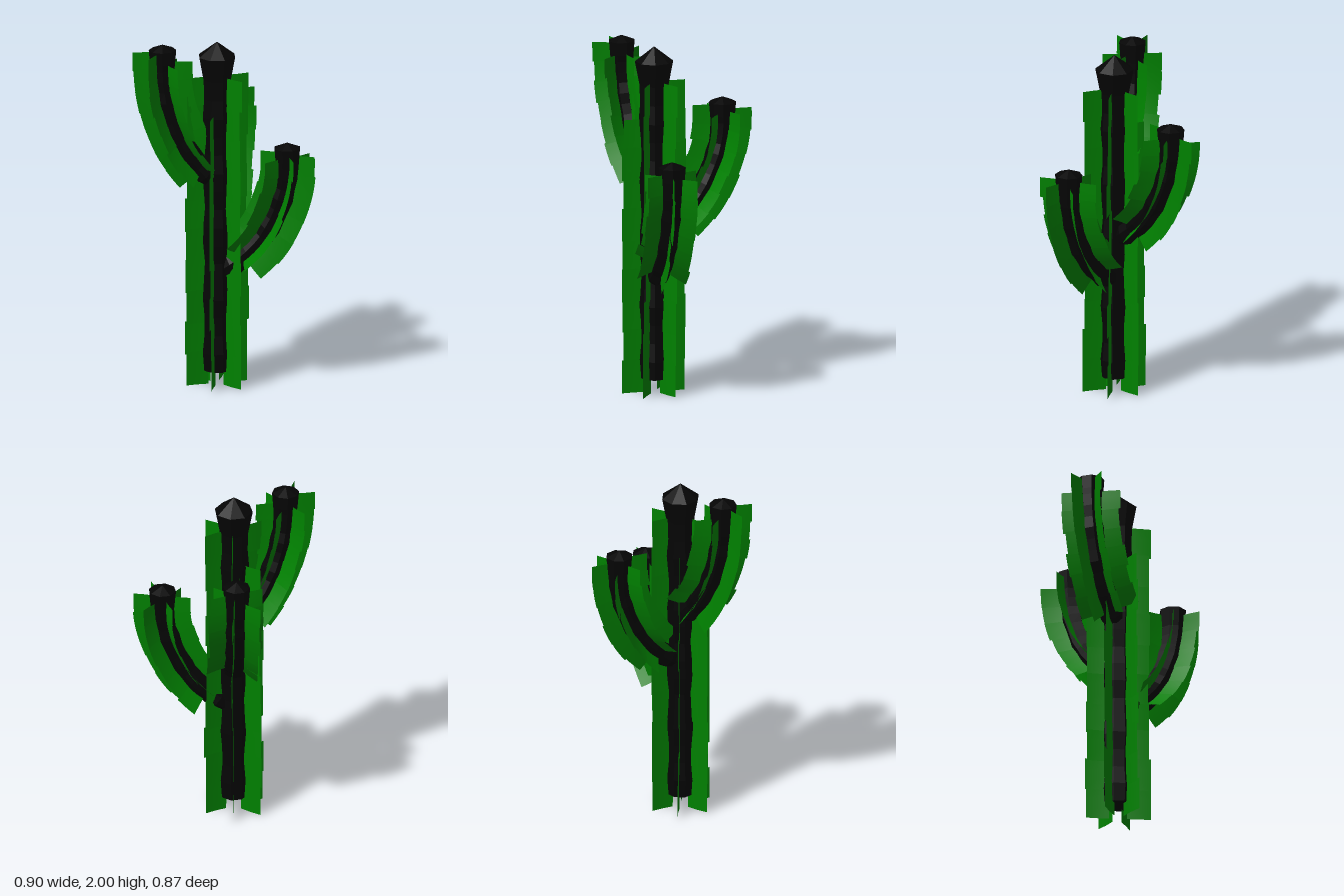
import * as THREE from 'three';

const coreMat = new THREE.MeshStandardMaterial({ color: 0x050505 });
coreMat.flatShading = true;
const finMat = new THREE.MeshStandardMaterial({ color: 0x008000, side: THREE.DoubleSide });
const rad = THREE.MathUtils.degToRad;
const V = (x, y, z) => new THREE.Vector3(x, y, z);

// small seeded generator, returns -1..1
let seed = 7;
const jitter = () => {
  seed = (seed * 16807) % 2147483647;
  return (seed / 2147483647) * 2 - 1;
};

// A stem follows a curve in the vertical plane at the given heading.
// place(u, angle, r) gives a point around the stem at curve parameter u.
function makeStem(profile, headingDeg) {
  const h = rad(headingDeg);
  const out = V(Math.cos(h), 0, Math.sin(h));
  const side = V(-Math.sin(h), 0, Math.cos(h));
  const curve = new THREE.CatmullRomCurve3(profile.map(([r, y]) => out.clone().multiplyScalar(r).setY(y)));
  const place = (u, angle, r) => {
    const t = curve.getTangentAt(u);
    const n = side.clone().cross(t).normalize();
    if (n.dot(out) < 0) n.negate();
    return curve.getPointAt(u)
      .addScaledVector(n, r * Math.cos(angle))
      .addScaledVector(side, r * Math.sin(angle));
  };
  return { place, length: curve.getLength() };
}

// Grid of points (rows x cols) turned into a surface
function gridGeometry(rows, cols, at) {
  const pos = [], idx = [];
  for (let i = 0; i < rows; i++) for (let j = 0; j < cols; j++) pos.push(...at(i, j).toArray());
  for (let i = 0; i < rows - 1; i++) for (let j = 0; j < cols - 1; j++) {
    const a = i * cols + j, b = a + cols;
    idx.push(a, b, a + 1, a + 1, b, b + 1);
  }
  const g = new THREE.BufferGeometry();
  g.setAttribute('position', new THREE.Float32BufferAttribute(pos, 3));
  g.setIndex(idx);
  g.computeVertexNormals();
  return g;
}

// Eight-sided core: rings are [u, radius], closed by zero-radius rings at both ends
function core(stem, rings, name) {
  const mesh = new THREE.Mesh(gridGeometry(rings.length, 9, (i, j) =>
    stem.place(rings[i][0], (j / 8) * Math.PI * 2 + 0.2, rings[i][1])), coreMat);
  mesh.name = name;
  return mesh;
}

// One rib: a row of thin overlapping plates with slightly uneven edges
function rib(stem, angleDeg, u0, u1, plateLength, inner, outer, name) {
  const group = new THREE.Group();
  group.name = name;
  const count = Math.max(1, Math.round(((u1 - u0) * stem.length) / plateLength));
  for (let k = 0; k < count; k++) {
    const a = u0 + ((u1 - u0) * k) / count;
    const b = Math.min(u1, u0 + ((u1 - u0) * (k + 1.08)) / count);
    const twist = rad(angleDeg + jitter() * 2.5);
    const reach = outer + jitter() * 0.008;
    const plate = new THREE.Mesh(gridGeometry(4, 3, (i, j) =>
      stem.place(a + ((b - a) * i) / 3, twist + (j === 1 ? 0.03 : 0), inner + ((reach - inner) * j) / 2)), finMat);
    plate.name = 'ribPlate';
    group.add(plate);
  }
  return group;
}

export function createModel() {
  seed = 7;
  const model = new THREE.Group();
  model.name = 'cactus';

  // Trunk: straight stem with a swollen pointed crown
  const trunk = new THREE.Group();
  trunk.name = 'trunk';
  const trunkStem = makeStem([[0, 0], [0, 1], [0, 2]], 0);
  const rings = [[0.04, 0], [0.04, 0.078]];
  for (let i = 1; i <= 15; i++) rings.push([0.04 + i * 0.053, 0.08 + 0.007 * Math.sin(i * 1.9)]);
  rings.push([0.89, 0.082], [0.958, 0.108], [1, 0]);
  trunk.add(core(trunkStem, rings, 'trunkCore'));
  const tops = [0.79, 0.9, 0.79, 0.9, 0.9, 0.9];
  tops.forEach((top, k) =>
    trunk.add(rib(trunkStem, 48 + k * 60, 0, top, 0.18, 0.05, 0.18, 'trunkRib')));
  model.add(trunk);

  // Arms: name, heading, lift, bend as [reach, height], rib start, rib ends
  const bend = [[0.04, 0.67], [0.1, 0.71], [0.25, 0.86], [0.35, 1.05], [0.395, 1.22], [0.4, 1.43]];
  const shortBend = [[0.02, 1.19], [0.09, 1.26], [0.2, 1.42], [0.27, 1.6], [0.305, 1.78], [0.312, 2]];
  const arms = [
    ['leftArm', -44, 0, bend, 0.15, [0.92, 0.925, 0.9, 0.93, 0.92, 0.895]],
    ['rightArm', 224, 0.25, bend, 0.15, [0.92, 0.915, 0.9, 0.95, 0.92, 0.865]],
    ['frontArm', 115, 0, shortBend, 0.1, [0.95, 0.89, 0.86, 0.89, 0.88, 0.95]],
  ];
  for (const [name, heading, lift, profile, start, ends] of arms) {
    const arm = new THREE.Group();
    arm.name = name;
    const stem = makeStem(profile.map(([r, y]) => [r, y + lift]), heading);
    const armRings = [[0, 0], [0, 0.05]];
    for (let i = 1; i <= 12; i++) armRings.push([i * 0.07, 0.065 + 0.004 * Math.sin(i * 2.3)]);
    armRings.push([0.88, 0.071], [0.965, 0.077], [1, 0]);
    arm.add(core(stem, armRings, 'armCore'));
    ends.forEach((end, k) =>
      arm.add(rib(stem, 10 + k * 60, start, end, 0.11, 0.04, 0.162, 'armRib')));
    model.add(arm);
  }
  return model;
}
